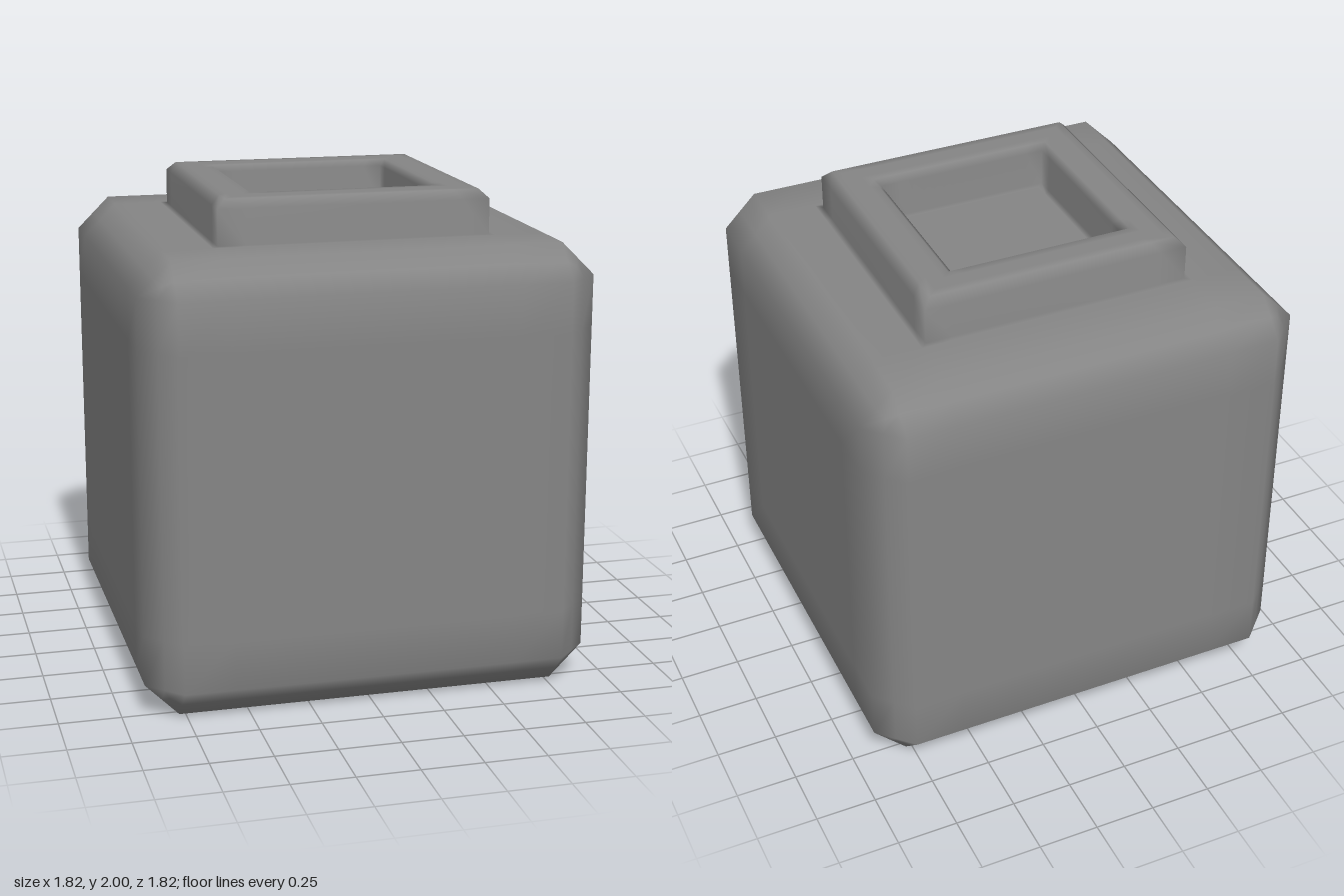
import * as THREE from 'three';
import { mergeVertices } from 'three/addons/utils/BufferGeometryUtils.js';

const material = new THREE.MeshStandardMaterial({ color: 0x858585 });

// Weld all corners and average the normals over the bevels
function smooth(geometry) {
  geometry.deleteAttribute('uv');
  geometry.deleteAttribute('normal');
  const welded = mergeVertices(geometry);
  welded.computeVertexNormals();
  return welded;
}

// Cube of half-size h with a single 45 degree bevel on each edge and corner
function bevelledCube(h, bevel) {
  const flat = h - bevel;
  const n = 9;
  const steps = [-h, -flat, -0.57, -0.345, -0.115, 0.115, 0.345, 0.57, flat, h];
  const geometry = new THREE.BoxGeometry(n, n, n, n, n, n);
  const p = geometry.attributes.position;
  for (let i = 0; i < p.count; i++) {
    const c = [p.getX(i), p.getY(i), p.getZ(i)].map((v) => steps[Math.round(v + n / 2)]);
    const k = c.filter((v) => Math.abs(v) === h).length;
    // edge points drop to the middle of the bevel, corners to the middle of its triangle
    const outer = (h + (k - 1) * flat) / k;
    p.setXYZ(i, ...c.map((v) => (Math.abs(v) === h ? Math.sign(v) * outer : v)));
  }
  return smooth(geometry);
}

// Profile swept round a square: a lathe pushed out to the square's sides
function squareRing(profile) {
  const geometry = new THREE.LatheGeometry(profile.map(([r, y]) => new THREE.Vector2(r, y)), 56);
  const p = geometry.attributes.position;
  for (let i = 0; i < p.count; i++) {
    const x = p.getX(i), z = p.getZ(i);
    const s = Math.hypot(x, z) / Math.max(Math.abs(x), Math.abs(z));
    p.setXYZ(i, x * s, p.getY(i), z * s);
  }
  return smooth(geometry);
}

export function createModel() {
  const model = new THREE.Group();

  // Main block; its top also forms the floor of the recess
  const body = new THREE.Mesh(bevelledCube(0.91, 0.135), material);
  body.name = 'body';
  body.position.y = 0.91;

  // Square raised rim with bevelled upper edges, its foot blending into the block inside and out
  const collar = new THREE.Mesh(squareRing([
    [0.575, 1.82], [0.55, 1.822], [0.55, 1.965], [0.515, 2], [0.48, 2],
    [0.42, 2], [0.385, 2], [0.36, 1.975], [0.36, 1.822], [0.335, 1.82],
  ]), material);
  collar.name = 'collar';

  model.add(body, collar);
  return model;
}
